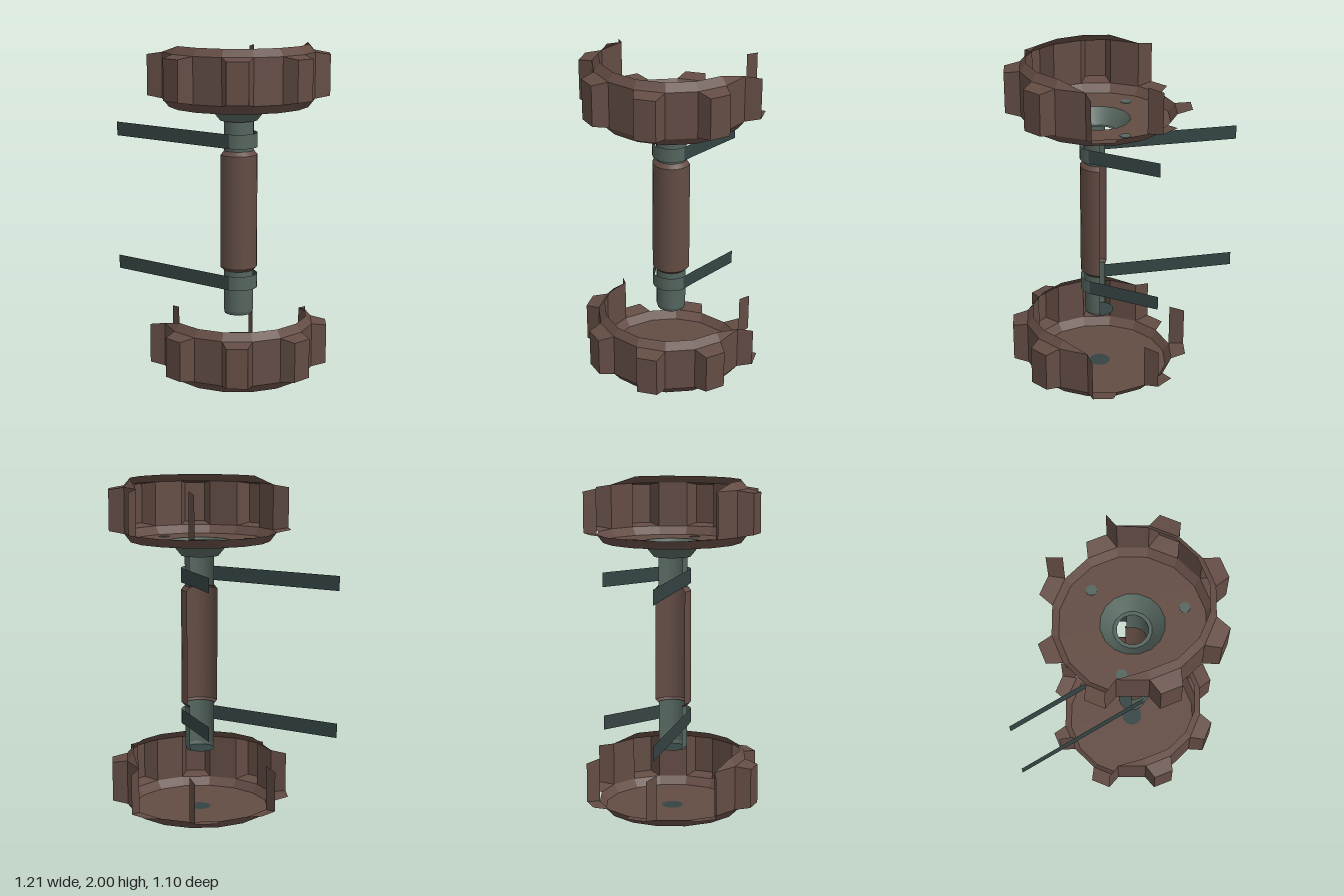
import * as THREE from 'three';

const CX = 0.0625, CZ = 0.0125; // axis of wheels and shaft
const STEP = 22.5;              // wheels are 16-sided
const R = 0.453, R_IN = 0.415, R_TOOTH = 0.538;
const LOW = 0.05, HIGH = 0.32, TOP = 0.365;

const mat = (name, color, flatShading) => {
  const m = new THREE.MeshStandardMaterial({ color, flatShading, side: THREE.DoubleSide });
  m.name = name;
  return m;
};

function mesh(parent, name, geometry, material, y = 0) {
  const m = new THREE.Mesh(geometry, material);
  m.name = name;
  m.position.y = y;
  parent.add(m);
  return m;
}

// Point on the wheel: angle runs clockwise from the back, seen from above
function at(deg, r, y) {
  const a = THREE.MathUtils.degToRad(deg);
  return [r * Math.sin(a), y, -r * Math.cos(a)];
}

// Surface from a list of three- or four-cornered faces
function faces(list) {
  const pos = [];
  for (const [a, b, c, d] of list) {
    pos.push(...a, ...b, ...c);
    if (d) pos.push(...a, ...c, ...d);
  }
  const g = new THREE.BufferGeometry();
  g.setAttribute('position', new THREE.Float32BufferAttribute(pos, 3));
  g.computeVertexNormals();
  return g;
}

// Flat disc or ring lying level
function flat(inner, outer, segments = 16) {
  const g = inner > 0
    ? new THREE.RingGeometry(inner, outer, segments)
    : new THREE.CircleGeometry(outer, segments);
  return g.rotateX(-Math.PI / 2);
}

// Corners of the tooth that stands on side k
function toothCorners(k) {
  const a = k * STEP, b = a + STEP;
  return {
    baseA: [at(a, R, LOW), at(a, R, HIGH)],
    baseB: [at(b, R, LOW), at(b, R, HIGH)],
    tipA: [at(a + 4.65, R_TOOTH, 0.065), at(a + 4.65, R_TOOTH, 0.305)],
    tipB: [at(b - 4.65, R_TOOTH, 0.065), at(b - 4.65, R_TOOTH, 0.305)],
  };
}
const sideA = (t) => [t.baseA[0], t.baseA[1], t.tipA[1], t.tipA[0]];
const sideB = (t) => [t.tipB[0], t.tipB[1], t.baseB[1], t.baseB[0]];

// Toothed wheel: full floor, but rim and teeth standing only round the front
function makeWheel(name, brown, holeRadius, looseSides) {
  const wheel = new THREE.Group();
  wheel.name = name;
  mesh(wheel, 'wheelFloor', flat(holeRadius, R_IN), brown);
  mesh(wheel, 'lowerBevel', new THREE.CylinderGeometry(R, R_IN, LOW, 16, 1, true), brown, LOW / 2);

  const rim = [], teeth = [], bevel = [];
  for (let k = 3; k < 12; k++) {
    const a = k * STEP, b = a + STEP;
    if (k % 2) rim.push([at(b, R, LOW), at(a, R, LOW), at(a, R, HIGH), at(b, R, HIGH)]);
    // upper bevel runs out to a point at both ends
    if (k === 3) bevel.push([at(b, R, HIGH), at(a, R, HIGH), at(b, R_IN, TOP)]);
    else if (k === 11) bevel.push([at(b, R, HIGH), at(a, R, HIGH), at(a, R_IN, TOP)]);
    else bevel.push([at(b, R, HIGH), at(a, R, HIGH), at(a, R_IN, TOP), at(b, R_IN, TOP)]);
  }
  for (let k = 0; k < 16; k += 2) {
    const t = toothCorners(k);
    teeth.push([t.baseA[0], t.tipA[0], t.tipB[0], t.baseB[0]]);
    if (k >= 4 && k <= 10) {
      teeth.push(sideA(t), sideB(t));
      teeth.push([t.tipB[0], t.tipA[0], t.tipA[1], t.tipB[1]]);
      teeth.push([t.baseB[1], t.tipB[1], t.tipA[1], t.baseA[1]]);
    }
  }
  // single tooth walls left standing at the back
  teeth.push(sideB(toothCorners(0)), sideB(toothCorners(2)));
  for (const k of looseSides) teeth.push(sideA(toothCorners(k)));

  mesh(wheel, 'rim', faces(rim), brown);
  mesh(wheel, 'upperBevel', faces(bevel), brown);
  mesh(wheel, 'teeth', faces(teeth), brown);
  return wheel;
}

// Shaft section, open at the back
function shell(rTop, rBottom, y0, y1) {
  const start = THREE.MathUtils.degToRad(-82), sweep = THREE.MathUtils.degToRad(205);
  return new THREE.CylinderGeometry(rTop, rBottom, y1 - y0, 14, 1, true, start, sweep)
    .translate(0, (y0 + y1) / 2, 0);
}

// Upright ribbon along straight legs
function ribbon(points, y0, y1) {
  const list = [];
  for (let i = 0; i + 1 < points.length; i++) {
    const [ax, az] = points[i], [bx, bz] = points[i + 1];
    list.push([[ax, y0, az], [bx, y0, bz], [bx, y1, bz], [ax, y1, az]]);
  }
  return faces(list);
}

export function createModel() {
  const brown = mat('brown', 0x634c44, true);
  const grip = mat('gripBrown', 0x634c44, false);
  const teal = mat('greyGreen', 0x55655e, false);
  const dark = mat('darkGreyGreen', 0x35444a, true);
  dark.color.set(0x344443);

  const model = new THREE.Group();
  model.name = 'toothedWheelShaft';
  const body = new THREE.Group();
  body.name = 'body';
  body.position.set(CX, 0, CZ);
  model.add(body);

  // Wheels
  const lower = makeWheel('lowerWheel', brown, 0.065, [12, 14]);
  mesh(lower, 'hubPlate', flat(0, 0.065), dark);
  const upper = makeWheel('upperWheel', brown, 0.183, [12]);
  upper.position.y = 1.637;
  body.add(lower, upper);

  // Three rivets through the upper wheel floor
  for (const deg of [30, 150, 270]) {
    const [x, , z] = at(deg, 0.307, 0);
    const rivet = mesh(upper, 'rivet', new THREE.CylinderGeometry(0.032, 0.032, 0.006, 12), teal);
    rivet.position.set(x, 0, z);
  }

  // Funnel under the upper wheel
  mesh(body, 'funnel', new THREE.CylinderGeometry(0.183, 0.112, 0.087, 16, 1, true), teal, 1.5935);
  mesh(body, 'funnelSeat', flat(0.09, 0.114), teal, 1.55);

  // Shaft and grip
  mesh(body, 'lowerShaft', shell(0.09, 0.09, 0.39, 0.65), teal);
  mesh(body, 'shaftTip', shell(0.09, 0.084, 0.368, 0.39), teal);
  mesh(body, 'shaftCap', flat(0, 0.086), dark, 0.37);
  mesh(body, 'upperShaft', shell(0.09, 0.09, 1.36, 1.55), teal);
  mesh(body, 'grip', shell(0.1125, 0.1125, 0.66, 1.345), grip);
  mesh(body, 'gripLowerBevel', shell(0.1125, 0.092, 0.64, 0.66), grip);
  mesh(body, 'gripUpperBevel', shell(0.092, 0.1125, 1.345, 1.37), grip);

  // Straps: a band round the front of the shaft with two loose ends
  const from = THREE.MathUtils.degToRad(-40), sweep = THREE.MathUtils.degToRad(130);
  const r = 0.113;
  for (const [name, y] of [['lowerStrap', 0.53], ['upperStrap', 1.39]]) {
    const strap = new THREE.Group();
    strap.name = name;
    body.add(strap);
    const h = 0.086;
    mesh(strap, 'band', new THREE.CylinderGeometry(r, r, h, 12, 1, true, from, sweep), teal, y + h / 2);
    mesh(strap, 'longEnd', ribbon([[-0.67, -0.56], [r * Math.sin(from), r * Math.cos(from)]], y, y + h), dark);
    mesh(strap, 'shortEnd', ribbon([[r, 0], [0.1, -0.09], [0.065, -0.445]], y, y + h), dark);
  }
  return model;
}
